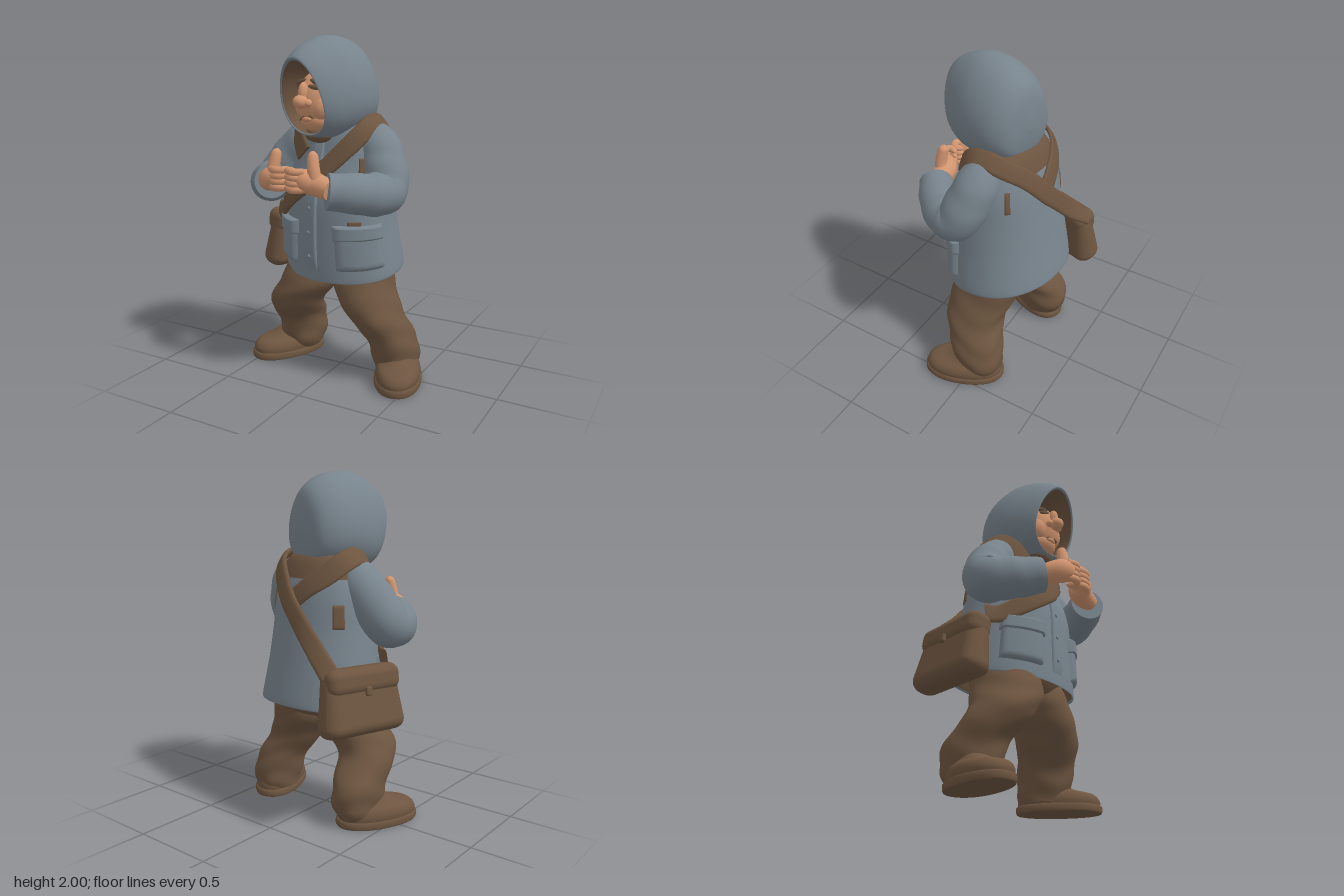
import * as THREE from 'three';
import { RoundedBoxGeometry } from 'three/addons/geometries/RoundedBoxGeometry.js';

const V = (x, y, z) => new THREE.Vector3(x, y, z);
const flat = (name, color) => Object.assign(new THREE.MeshStandardMaterial({ color }), { name });
const TAU = Math.PI * 2, deg = Math.PI / 180;

// Catmull-Rom refinement of a table of rows, column by column
function smooth(rows, k) {
  const out = [], at = i => rows[Math.min(rows.length - 1, Math.max(0, i))];
  for (let i = 0; i < rows.length - 1; i++) for (let s = 0; s < k; s++) {
    const t = s / k, [a, b, c, d] = [at(i - 1), at(i), at(i + 1), at(i + 2)];
    out.push(b.map((p, j) => p + 0.5 * t * (c[j] - a[j] + t * (2 * a[j] - 5 * p + 4 * c[j] - d[j]
      + t * (3 * (p - c[j]) + d[j] - a[j])))));
  }
  out.push(rows[rows.length - 1]);
  return out;
}

// Closed skin over rings; pick(centre, row) returns the material index of each quad
function skin(rings, pick = () => 0) {
  const n = rings[0].length, pts = rings.flat(), tris = [[], []];
  for (let i = 0; i < rings.length - 1; i++) for (let j = 0; j < n; j++) {
    const a = i * n + j, b = i * n + (j + 1) % n, c = b + n, d = a + n;
    const mid = pts[a].clone().add(pts[c]).multiplyScalar(0.5);
    tris[pick(mid, i)].push(a, b, d, b, c, d);
  }
  for (const [ring, first] of [[rings[0], true], [rings[rings.length - 1], false]]) {
    const base = pts.length, mid = V(0, 0, 0);
    ring.forEach(p => mid.addScaledVector(p, 1 / n));
    pts.push(...ring, mid);
    const m = pick(mid, first ? 0 : rings.length - 2);
    for (let j = 0; j < n; j++) {
      const k = base + (j + 1) % n;
      tris[m].push(base + n, first ? k : base + j, first ? base + j : k);
    }
  }
  const g = new THREE.BufferGeometry().setFromPoints(pts);
  g.setIndex([...tris[0], ...tris[1]]);
  g.addGroup(0, tris[0].length, 0);
  g.addGroup(tris[0].length, tris[1].length, 1);
  g.computeVertexNormals();
  return g;
}

const pw = (c, e) => Math.sign(c) * Math.abs(c) ** (2 / e);
// Point on a horizontal section [y, cx, cz, rx, rz, tilt, skew]
function onRow([y, cx, cz, rx, rz, tilt = 0, skew = 0], a) {
  const x = cx + rx * pw(Math.cos(a), 2.2), z = cz - rz * pw(Math.sin(a), 2.2);
  return V(x, y + tilt * z, z + skew * x);
}
function loft(rows, k = 5, n = 40, pick, fold = 0) {
  return skin(smooth(rows, k).map(r => Array.from({ length: n }, (_, j) => {
    const a = j / n * TAU, f = 1 + fold * Math.sin(r[0] * 42 + 2 * Math.sin(a * 2)) * Math.max(0, 1 - r[0]);
    return onRow([r[0], r[1], r[2], r[3] * f, r[4] * f, r[5], r[6]], a);
  })), pick);
}

// Tube along [x, y, z, radius] rows
function limb(path, k = 6, n = 20, fold = 0) {
  const rows = smooth(path, k), p = rows.map(r => V(r[0], r[1], r[2]));
  let N = V(0.31, 0.2, 0.93);
  return skin(rows.map((r, i) => {
    const T = p[Math.min(i + 1, p.length - 1)].clone().sub(p[Math.max(i - 1, 0)]).normalize();
    N = N.clone().addScaledVector(T, -N.dot(T)).normalize();
    const B = T.clone().cross(N);
    return Array.from({ length: n }, (_, j) => {
      const a = j / n * TAU, q = r[3] * (1 + fold * Math.sin(i * 1.1 + 2 * Math.sin(a)));
      return p[i].clone().addScaledVector(N, q * Math.cos(a)).addScaledVector(B, q * Math.sin(a));
    });
  }));
}

// Jacket sections
const coat = [[0.72, 0, -0.05, 0.33, 0.28, -0.12, 0.1], [0.655, 0, -0.05, 0.36, 0.31, -0.12, 0.1], [0.67, 0, -0.05, 0.374, 0.32, -0.12, 0.1],
  [0.9, -0.01, -0.03, 0.352, 0.3, -0.06, 0.1], [1.1, -0.01, -0.02, 0.332, 0.277, 0, 0.1], [1.3, -0.01, -0.035, 0.31, 0.228, 0, 0.1],
  [1.45, -0.01, -0.03, 0.265, 0.188, 0, 0.08], [1.53, -0.01, -0.025, 0.2, 0.148, 0, 0.05], [1.57, -0.01, -0.02, 0.09, 0.08, 0, 0]];
const coatRows = smooth(coat.slice(2), 8);
function coatAt(y, a) {
  let i = 0;
  while (i < coatRows.length - 2 && coatRows[i + 1][0] < y) i++;
  const A = coatRows[i], B = coatRows[i + 1], t = (y - A[0]) / (B[0] - A[0]);
  return onRow(A.map((v, j) => v + (B[j] - v) * t), a * deg);
}
function coatNormal(y, a) {
  const du = coatAt(y, a + 2).sub(coatAt(y, a - 2)), dv = coatAt(y + 0.015, a).sub(coatAt(y - 0.015, a));
  return du.cross(dv).normalize();
}
// Padded panel lying on the jacket
function panel(a0, a1, y0, y1, out) {
  const g = new THREE.PlaneGeometry(1, 1, 16, 16), p = g.attributes.position;
  for (let i = 0; i < p.count; i++) {
    const u = p.getX(i) + 0.5, v = p.getY(i) + 0.5, a = a0 + (a1 - a0) * u, y = y0 + (y1 - y0) * v;
    const edge = Math.min(1, Math.min(u, 1 - u, v, 1 - v) * 12);
    const q = coatAt(y, a).addScaledVector(coatNormal(y, a), out * edge - 0.004 * (1 - edge));
    p.setXYZ(i, q.x, q.y, q.z);
  }
  g.computeVertexNormals();
  return g;
}
// Band over the jacket from [y, angle, lift] rows
function band(rows, w, h) {
  const r = smooth(rows, 8);
  const N = r.map(q => coatNormal(q[0], q[1])), p = r.map((q, i) => coatAt(q[0], q[1]).addScaledVector(N[i], q[2]));
  return skin(p.map((c, i) => {
    const T = p[Math.min(i + 1, p.length - 1)].clone().sub(p[Math.max(i - 1, 0)]).normalize();
    const W = N[i].clone().cross(T).normalize();
    return Array.from({ length: 12 }, (_, j) => c.clone()
      .addScaledVector(W, w * pw(Math.cos(j / 12 * TAU), 3)).addScaledVector(N[i], h * pw(Math.sin(j / 12 * TAU), 3)));
  }));
}

export function createModel() {
  const root = new THREE.Group();
  root.name = 'hoodedFigure';
  const cloth = flat('blueGreyCloth', 0x78848d), brown = flat('brownCloth', 0x6d5540), skinMat = flat('skin', 0xd0946f);
  const add = (name, geo, mat, parent = root) => {
    const m = new THREE.Mesh(geo, mat);
    m.name = name;
    parent.add(m);
    return m;
  };
  const ball = (name, mat, parent, pos, r, rz = 0) => {
    const m = add(name, new THREE.SphereGeometry(1, 24, 16), mat, parent);
    m.position.set(...pos); m.scale.set(...r); m.rotation.z = rz;
    return m;
  };
  const group = (name, x, y, z, ry) => {
    const g = new THREE.Group();
    g.name = name; g.position.set(x, y, z); g.rotation.y = ry;
    root.add(g);
    return g;
  };

  // Trousers
  add('trouserSeat', loft([[0.585, 0, -0.02, 0.1, 0.12], [0.62, 0, -0.02, 0.24, 0.19], [0.74, 0, -0.03, 0.33, 0.27]]), brown);
  add('leftLeg', loft([[0.05, 0.365, -0.03, 0.12, 0.14], [0.12, 0.365, -0.03, 0.135, 0.16], [0.25, 0.34, -0.005, 0.14, 0.17],
    [0.4, 0.257, 0.045, 0.158, 0.185], [0.55, 0.175, 0.02, 0.172, 0.208], [0.7, 0.15, -0.02, 0.16, 0.2]], 9, 40, undefined, 0.03), brown);
  add('rightLeg', loft([[0.04, -0.335, -0.11, 0.1, 0.13], [0.12, -0.33, -0.11, 0.127, 0.17], [0.25, -0.33, -0.085, 0.135, 0.18],
    [0.4, -0.292, 0.03, 0.158, 0.185], [0.55, -0.195, 0.02, 0.175, 0.208], [0.7, -0.16, -0.03, 0.16, 0.2]], 9, 40, undefined, 0.03), brown);

  // Boots
  for (const [side, x, z, ry] of [['left', 0.41, 0.045, 0.36], ['right', -0.4, -0.02, -0.46]]) {
    const boot = group(side + 'Boot', x, 0, z, ry);
    add('sole', loft([[0, 0, 0, 0.134, 0.246], [0.01, 0, 0, 0.14, 0.252], [0.036, 0, 0, 0.14, 0.252], [0.044, 0, 0, 0.132, 0.243]], 1), brown, boot);
    add('upper', loft([[0.03, 0, 0, 0.128, 0.237], [0.07, 0, 0, 0.133, 0.24], [0.108, 0, -0.01, 0.12, 0.214],
      [0.135, 0, -0.045, 0.092, 0.15], [0.18, 0, -0.08, 0.07, 0.1]]), brown, boot);
  }

  // Jacket with a brown lining and a brown yoke round the right shoulder and upper back
  add('jacket', loft(coat, 8, 72, (v, row) => row < 8 || (v.z < 0.03 && v.y > 1.4 && v.x < 0.8 * (v.y - 1.2)) ? 1 : 0), [cloth, brown]);
  add('yokeBand', band([[1.33, 242, 0.006], [1.4, 228, 0.016], [1.47, 208, 0.03], [1.505, 182, 0.036], [1.48, 152, 0.03],
    [1.42, 126, 0.014], [1.36, 104, 0.01], [1.29, 88, 0.008]], 0.062, 0.012), brown);
  for (const patch of [[134, 150, 1.13, 1.27], [36, 43, 1.22, 1.36], [311, 324, 1.24, 1.33], [300, 317, 0.963, 0.985]])
    add('clothPatch', panel(...patch, 0.007), brown);
  add('frontPlacket', panel(257, 270, 0.69, 1.44, 0.012), cloth);
  for (let i = 0; i < 5; i++) {
    const y = 0.78 + i * 0.13, q = coatAt(y, 263).addScaledVector(coatNormal(y, 263), 0.012);
    ball('button', cloth, root, q.toArray(), [0.012, 0.012, 0.007]);
  }
  for (const [side, a0, a1] of [['left', 286, 340], ['right', 202, 247]]) {
    add(side + 'Pocket', panel(a0, a1, 0.715, 0.93, 0.026), cloth);
    add(side + 'PocketFlap', panel(a0 - 2, a1 + 2, 0.88, 0.965, 0.036), cloth);
  }

  // Sleeves
  add('rightSleeve', limb([[-0.15, 1.44, -0.03, 0.08], [-0.245, 1.395, -0.025, 0.118], [-0.35, 1.28, -0.02, 0.132], [-0.43, 1.16, 0.015, 0.132],
    [-0.43, 1.14, 0.1, 0.122], [-0.37, 1.155, 0.2, 0.114], [-0.295, 1.18, 0.295, 0.1]], 6, 28, 0.018), cloth);
  add('leftSleeve', limb([[0.14, 1.45, -0.03, 0.08], [0.23, 1.4, 0, 0.12], [0.3, 1.28, 0.04, 0.13], [0.34, 1.16, 0.1, 0.127],
    [0.32, 1.14, 0.19, 0.122], [0.24, 1.155, 0.295, 0.112], [0.13, 1.17, 0.39, 0.1]], 6, 28, 0.018), cloth);

  // Hands with curled fingers and raised thumbs
  for (const [side, cx, s, wx, wz, dz, t] of [['left', -0.115, 1, 0.15, 0.38, 0.012, 0.155], ['right', -0.095, -1, -0.3, 0.29, 0, 0.108]]) {
    const hand = group(side + 'Hand', 0, 0, dz, 0), X = u => cx + s * u;
    add('palm', limb([[wx, 1.18, wz, 0.055], [X(0.16), 1.205, 0.37, 0.066], [X(0.11), 1.222, 0.392, 0.064], [X(0.075), 1.225, 0.4, 0.046], [X(0.055), 1.225, 0.4, 0.01]]), skinMat, hand);
    for (let i = 0; i < 4; i++) {
      const y = 1.272 - i * 0.032;
      add('finger', limb([[X(0.12), y, 0.415, 0.02], [X(0.07), y, 0.443, 0.023], [X(0.025), y + 0.003, 0.425, 0.021],
        [X(0.03), y, 0.39, 0.019], [X(0.045), y, 0.375, 0.006]], 4, 12), skinMat, hand);
    }
    add('thumb', limb([[X(t + 0.02), 1.22, 0.385, 0.04], [X(t + 0.012), 1.28, 0.388, 0.036], [X(t + 0.004), 1.335, 0.38, 0.032],
      [X(t), 1.368, 0.372, 0.025], [X(t), 1.384, 0.367, 0.005]], 5, 14), skinMat, hand);
  }

  // Shoulder strap
  add('shoulderStrap', band([[0.95, 190, 0.07], [0.98, 206, 0.02], [1.15, 254, 0.016], [1.25, 272, 0.016], [1.38, 297, 0.016], [1.48, 328, 0.018],
    [1.51, 360, 0.022], [1.475, 398, 0.024], [1.39, 427, 0.028], [1.2, 455, 0.032], [1.05, 475, 0.048], [0.95, 487, 0.09], [0.88, 494, 0.13]], 0.056, 0.017), brown);

  // Shoulder bag, wider towards the bottom
  const bag = group('shoulderBag', -0.405, 0.752, -0.2, -0.31);
  bag.rotation.z = -0.15;
  const body = new RoundedBoxGeometry(0.155, 0.365, 0.5, 6, 0.07), bp = body.attributes.position;
  for (let i = 0; i < bp.count; i++) {
    const y = bp.getY(i);
    bp.setXYZ(i, bp.getX(i) * (1 - 1.2 * y), y, bp.getZ(i) * (1 - 0.5 * y));
  }
  body.computeVertexNormals();
  add('bagBody', body, brown, bag);
  add('bagFlap', new RoundedBoxGeometry(0.155, 0.15, 0.47, 6, 0.055), brown, bag).position.set(-0.01, 0.118, 0.005);
  add('bagClasp', new RoundedBoxGeometry(0.025, 0.05, 0.04, 3, 0.01), brown, bag).position.set(-0.09, 0.06, 0);

  // Hood: brown lining, lip and shell, rows of [z, cy, rx, ry, slant]
  const head = group('head', -0.03, 0, 0.06, -0.25);
  const hoodRows = smooth([[0.04, 1.66, 0.14, 0.185, 0.2], [0.2, 1.66, 0.15, 0.195, 0.27], [0.24, 1.66, 0.158, 0.205, 0.27], [0.235, 1.665, 0.172, 0.222, 0.27],
    [0.16, 1.685, 0.204, 0.262, 0.2], [0.05, 1.712, 0.23, 0.286, 0.08], [-0.06, 1.717, 0.232, 0.275, 0], [-0.16, 1.705, 0.208, 0.248, 0],
    [-0.23, 1.69, 0.145, 0.185, 0], [-0.255, 1.69, 0.02, 0.03, 0]], 5);
  add('hood', skin(hoodRows.map(([z, cy, rx, ry, slant]) => Array.from({ length: 48 }, (_, j) => {
    const a = -j / 48 * TAU, c = pw(Math.cos(a), 2.1), s = pw(Math.sin(a), 2.1);
    return V(rx * c * (1 - 0.2 * s), cy + ry * s, z + slant * ry * s);
  })), (v, row) => row < 9 ? 1 : 0), [cloth, brown], head);

  // Face
  const faceZ = (x, y) => 0.07 + 0.16 * Math.sqrt(Math.max(0, 1 - (x / 0.132) ** 2 - ((y - 1.64) / 0.175) ** 2));
  ball('face', skinMat, head, [0, 1.64, 0.07], [0.132, 0.175, 0.16]);
  ball('jaw', skinMat, head, [0, 1.535, 0.1], [0.105, 0.075, 0.105]);
  ball('neckScarf', brown, head, [0, 1.45, 0.1], [0.09, 0.05, 0.075]);
  ball('noseBridge', skinMat, head, [0, 1.685, 0.222], [0.026, 0.06, 0.034]);
  ball('noseTip', skinMat, head, [0, 1.638, 0.245], [0.042, 0.038, 0.046]);
  for (const s of [-1, 1]) {
    ball('nostril', skinMat, head, [s * 0.035, 1.632, 0.224], [0.025, 0.023, 0.028]);
    ball('cheek', skinMat, head, [s * 0.055, 1.61, 0.145], [0.066, 0.08, 0.064]);
    ball('eye', brown, head, [s * 0.055, 1.718, faceZ(0.055, 1.718)], [0.034, 0.014, 0.009], -s * 0.2).rotation.y = s * 0.35;
    ball('brow', brown, head, [s * 0.055, 1.745, faceZ(0.055, 1.745) + 0.002], [0.045, 0.014, 0.016], -s * 0.3);
  }
  const mouth = add('mouth', new THREE.TorusGeometry(0.055, 0.007, 8, 16, Math.PI * 0.8), brown, head);
  mouth.position.set(0, 1.526, 0.202);
  mouth.rotation.z = Math.PI * 0.1;
  mouth.scale.set(1, 0.6, 1);
  ball('lowerLip', skinMat, head, [0, 1.54, 0.195], [0.04, 0.016, 0.02]);

  return root;
}
